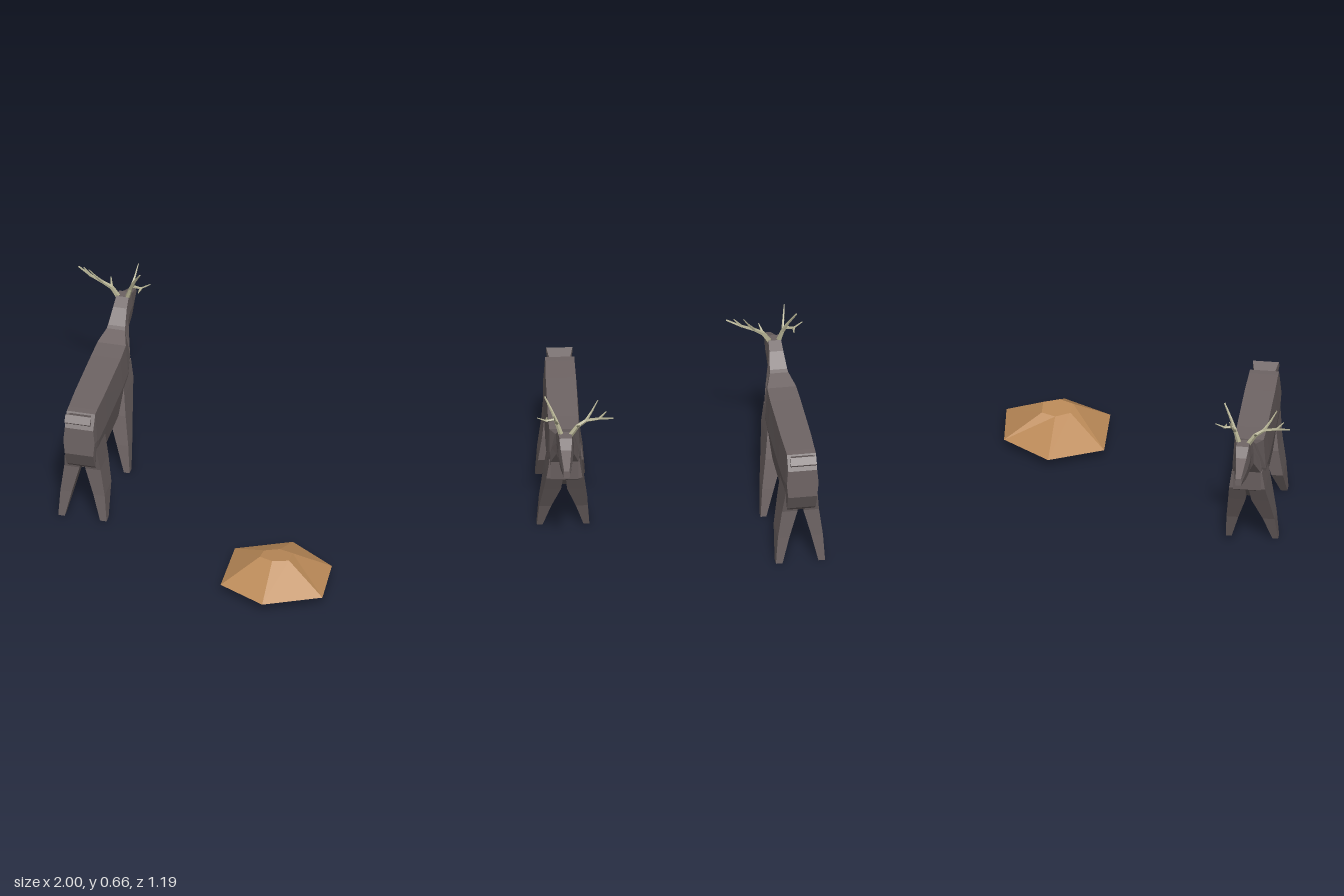
import * as THREE from 'three';

const material = (name, color) => {
  const m = new THREE.MeshStandardMaterial({ color, flatShading: true });
  m.name = name;
  return m;
};

// Skins a list of equal-length rings and caps both ends
function loft(rings) {
  const pos = [];
  const tri = (a, b, c) => pos.push(...a, ...b, ...c);
  const n = rings[0].length;
  for (let i = 0; i < rings.length - 1; i++) {
    for (let j = 0; j < n; j++) {
      const k = (j + 1) % n;
      const [a, b, c, d] = [rings[i][j], rings[i][k], rings[i + 1][k], rings[i + 1][j]];
      tri(a, b, c);
      tri(a, c, d);
    }
  }
  const last = rings[rings.length - 1];
  for (let j = 1; j < n - 1; j++) {
    tri(rings[0][0], rings[0][j + 1], rings[0][j]);
    tri(last[0], last[j], last[j + 1]);
  }
  const g = new THREE.BufferGeometry();
  g.setAttribute('position', new THREE.Float32BufferAttribute(pos, 3));
  g.computeVertexNormals();
  return g;
}

// Upright six-point section: z, top y, bottom y, half widths at top, middle and bottom
const section = ([z, yt, yb, wt, wm, wb]) => {
  const ym = (yt + yb) / 2;
  return [[wb, yb, z], [wm, ym, z], [wt, yt, z], [-wt, yt, z], [-wm, ym, z], [-wb, yb, z]];
};

// Level four-point section: y, inner x, outer x, back z, front z, on either side
const legSection = side => ([y, xi, xo, z0, z1]) => {
  const [x0, x1] = side > 0 ? [xi, xo] : [-xo, -xi];
  return [[x1, y, z0], [x1, y, z1], [x0, y, z1], [x0, y, z0]];
};

// Rump, barrel, chest, neck and head in one run from back to front
const BODY = [
  [-0.22, 0.405, 0.30, 0.05, 0.055, 0.05],
  [-0.19, 0.455, 0.24, 0.05, 0.057, 0.05],
  [-0.165, 0.456, 0.217, 0.05, 0.058, 0.045],
  [-0.06, 0.455, 0.22, 0.052, 0.06, 0.045],
  [0.17, 0.45, 0.22, 0.052, 0.06, 0.045],
  [0.25, 0.452, 0.225, 0.05, 0.058, 0.048],
  [0.31, 0.473, 0.285, 0.032, 0.05, 0.048],
  [0.322, 0.48, 0.365, 0.03, 0.045, 0.048],
  [0.37, 0.523, 0.43, 0.024, 0.03, 0.03],
  [0.406, 0.545, 0.428, 0.022, 0.027, 0.022],
  [0.445, 0.542, 0.43, 0.022, 0.027, 0.02],
  [0.48, 0.517, 0.437, 0.018, 0.023, 0.018],
  [0.56, 0.483, 0.457, 0.009, 0.012, 0.009],
];
const TAIL = [
  [-0.247, 0.445, 0.443, 0.045, 0.045, 0.045],
  [-0.23, 0.467, 0.43, 0.045, 0.045, 0.043],
  [-0.185, 0.446, 0.415, 0.034, 0.034, 0.034],
];
const HIND_LEG = [
  [0.32, 0.005, 0.053, -0.20, -0.07],
  [0.215, 0.01, 0.064, -0.17, -0.06],
  [0.11, 0.038, 0.078, -0.168, -0.072],
  [0.008, 0.062, 0.085, -0.17, -0.14],
];
const FRONT_LEG = [
  [0.36, 0.005, 0.052, 0.20, 0.315],
  [0.29, 0.005, 0.062, 0.18, 0.31],
  [0.22, 0.01, 0.07, 0.165, 0.27],
  [0.11, 0.042, 0.083, 0.15, 0.21],
  [0.006, 0.07, 0.09, 0.14, 0.168],
];

// Antler branches as point runs; one side spreads, the other stands upright
const ANTLERS = {
  leftAntler: [
    [[0.012, 0.53, 0.415], [0.04, 0.572, 0.415], [0.07, 0.592, 0.41], [0.115, 0.605, 0.42], [0.163, 0.62, 0.442]],
    [[0.07, 0.592, 0.41], [0.092, 0.622, 0.395], [0.112, 0.655, 0.38]],
    [[0.04, 0.572, 0.415], [0.05, 0.595, 0.445]],
    [[0.115, 0.605, 0.42], [0.14, 0.635, 0.42]],
  ],
  rightAntler: [
    [[-0.012, 0.53, 0.415], [-0.028, 0.58, 0.408], [-0.045, 0.62, 0.393], [-0.07, 0.667, 0.37]],
    [[-0.035, 0.595, 0.404], [-0.065, 0.59, 0.405], [-0.097, 0.607, 0.412]],
    [[-0.028, 0.58, 0.408], [-0.035, 0.61, 0.44], [-0.042, 0.65, 0.465]],
    [[-0.065, 0.59, 0.405], [-0.062, 0.587, 0.378]],
  ],
};

function rod(a, b, r0, r1, mat) {
  const p = new THREE.Vector3(...a);
  const dir = new THREE.Vector3(...b).sub(p);
  const m = new THREE.Mesh(new THREE.CylinderGeometry(r1, r0, dir.length(), 5), mat);
  m.position.copy(p).addScaledVector(dir, 0.5);
  m.quaternion.setFromUnitVectors(new THREE.Vector3(0, 1, 0), dir.normalize());
  m.name = 'antlerSegment';
  return m;
}

function makeDeer(name, hide, bone) {
  const deer = new THREE.Group();
  deer.name = name;
  const add = (part, rings) => {
    const m = new THREE.Mesh(loft(rings), hide);
    m.name = part;
    deer.add(m);
  };
  add('bodyNeckHead', BODY.map(section));
  add('tail', TAIL.map(section));
  for (const [side, label] of [[1, 'left'], [-1, 'right']]) {
    add(label + 'HindLeg', HIND_LEG.map(legSection(side)));
    add(label + 'FrontLeg', FRONT_LEG.map(legSection(side)));
  }
  for (const [label, branches] of Object.entries(ANTLERS)) {
    const antler = new THREE.Group();
    antler.name = label;
    branches.forEach((pts, k) => {
      const radius = i => (k ? 0.0055 : 0.0095) * (1 - 0.7 * i / (pts.length - 1));
      for (let i = 0; i < pts.length - 1; i++) {
        antler.add(rod(pts[i], pts[i + 1], radius(i), radius(i + 1), bone));
      }
    });
    deer.add(antler);
  }
  return deer;
}

export function createModel() {
  const model = new THREE.Group();
  model.name = 'deerAndMound';
  const hide = material('greyBrownHide', 0x6f6565);
  const bone = material('paleBone', 0xb3b092);
  const earth = material('tanEarth', 0xbb8a58);

  // Two deer facing opposite ways
  const farDeer = makeDeer('rightDeer', hide, bone);
  farDeer.position.set(-0.835, 0, 0);
  farDeer.rotation.y = Math.PI;
  const nearDeer = makeDeer('leftDeer', hide, bone);
  nearDeer.position.set(0.724, 0, -0.35);
  nearDeer.rotation.y = 0.273;
  model.add(farDeer, nearDeer);

  // Six-sided mound with a small flat top
  const base = [[0.09, 0.497], [-0.10, 0.588], [-0.267, 0.503], [-0.273, 0.273], [-0.09, 0.187], [0.075, 0.30]];
  const top = [[-0.045, 0.425], [-0.10, 0.445], [-0.148, 0.425], [-0.145, 0.375], [-0.095, 0.35], [-0.047, 0.367]];
  const mound = new THREE.Mesh(loft([
    top.map(([x, z]) => [x, 0.115 + (z - 0.35) * 0.12, z]),
    base.map(([x, z]) => [x, 0.04, z]),
  ]), earth);
  mound.name = 'mound';
  model.add(mound);
  return model;
}
